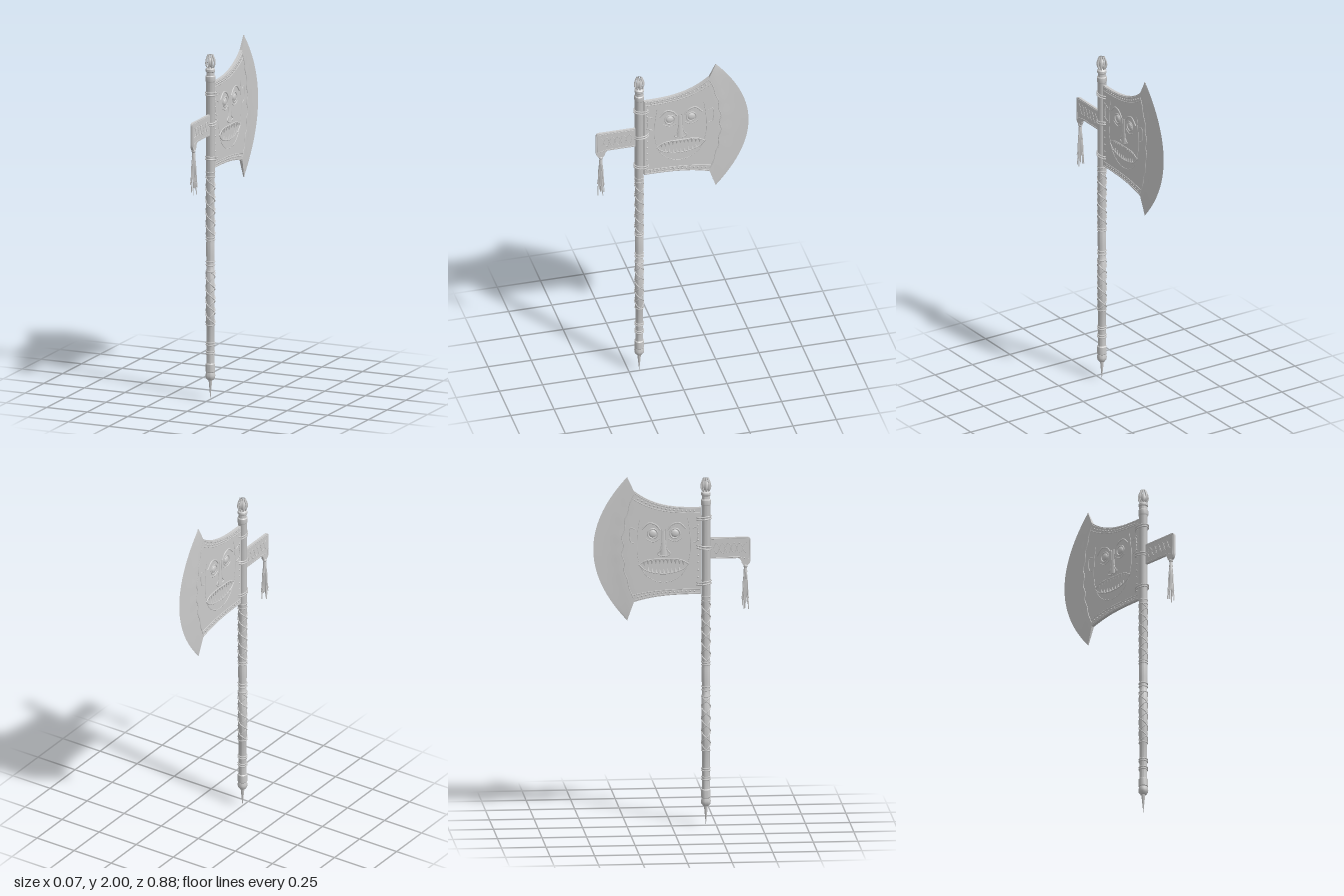
import * as THREE from 'three';
import { toCreasedNormals } from 'three/addons/utils/BufferGeometryUtils.js';

const SHAFT_Z = 0.192, H = 0.009; // shaft axis, half thickness of the blade
const V = (x, y, z) => new THREE.Vector3(x, y, z);
const mat = new THREE.MeshStandardMaterial({ color: 0xcccccc });
const matDouble = new THREE.MeshStandardMaterial({ color: 0xcccccc, side: THREE.DoubleSide });

function add(parent, name, geo, x = 0, y = 0, z = 0, material = mat) {
  const m = new THREE.Mesh(geo, material);
  m.name = name;
  m.position.set(x, y, z);
  parent.add(m);
  return m;
}

function group(parent, name) {
  const g = new THREE.Group();
  g.name = name;
  parent.add(g);
  return g;
}

function tube(parent, name, pts, r, closed = false, seg = pts.length * 5) {
  const curve = new THREE.CatmullRomCurve3(pts, closed);
  return add(parent, name, new THREE.TubeGeometry(curve, seg, r, 6, closed));
}

// Raised line on both flat sides; points are [z, y]
function relief(parent, name, pts, r, h = H, closed = false) {
  for (const s of [1, -1]) tube(parent, name, pts.map(([z, y]) => V(s * h, y, z)), r, closed);
}

// Blade surface: u 0..1 is the body, 1..2 the bevel, 2..3 the cutting edge
const wave = (v) => 0.006 * Math.sin(v * 40) * Math.sin(v * Math.PI);
function bladePoint(u, v) {
  const bow = 1 - (2 * v - 1) ** 2;
  const t = Math.min(u, 1);
  const inner = [0.165 + (-0.378 - 0.07 * bow + wave(v)) * t,
    THREE.MathUtils.lerp(1.325 - 0.04 * t ** 3, 1.82 + 0.1 * t ** 3, v)];
  if (u <= 1) return [...inner, H];
  const tipY = 1.18 + 0.82 * v;
  const bevel = [-0.25 - 0.1 * bow, tipY, 0.0025];
  const edge = [-0.25 - 0.19 * bow, tipY, 0];
  const [a, b, f] = u <= 2 ? [[...inner, H], bevel, u - 1] : [bevel, edge, u - 2];
  return a.map((q, i) => q + (b[i] - q) * f);
}

function bladeGeometry() {
  const us = [...Array(13).keys()].map((i) => i / 12).concat(1.5, 2, 2.5, 3);
  const n = 48, pos = [];
  const P = (i, j, s) => {
    const [z, y, h] = bladePoint(us[i], j / n);
    return [s * h, y, z];
  };
  const quad = (a, b, c, d) => pos.push(...a, ...b, ...c, ...a, ...c, ...d);
  for (let i = 0; i < us.length - 1; i++) {
    for (let j = 0; j < n; j++) {
      quad(P(i, j, 1), P(i + 1, j, 1), P(i + 1, j + 1, 1), P(i, j + 1, 1));
      quad(P(i, j, -1), P(i, j + 1, -1), P(i + 1, j + 1, -1), P(i + 1, j, -1));
    }
    quad(P(i, n, 1), P(i + 1, n, 1), P(i + 1, n, -1), P(i, n, -1));
    quad(P(i, 0, 1), P(i, 0, -1), P(i + 1, 0, -1), P(i + 1, 0, 1));
  }
  for (let j = 0; j < n; j++) quad(P(0, j, 1), P(0, j + 1, 1), P(0, j + 1, -1), P(0, j, -1));
  const geo = new THREE.BufferGeometry();
  geo.setAttribute('position', new THREE.Float32BufferAttribute(pos, 3));
  return toCreasedNormals(geo, 0.3);
}

function buildBlade(root) {
  const blade = group(root, 'blade');
  add(blade, 'bladeBody', bladeGeometry(), 0, 0, 0, matDouble);
  const line = (n, f) => [...Array(n + 1).keys()].map((i) => f(i / n));
  // Borders along the upper, lower and wavy edges
  for (const v of [0.012, 0.06, 0.94, 0.988])
    relief(blade, 'bladeBorder', line(16, (t) => bladePoint(0.02 + 0.96 * t, v).slice(0, 2)), 0.003);
  relief(blade, 'wavyRidge', line(48, (t) => bladePoint(0.985, 0.03 + 0.94 * t).slice(0, 2)), 0.003);
  // Studs beside the shaft and between the border lines
  const stud = new THREE.SphereGeometry(0.0055, 8, 6);
  const spots = line(9, (t) => [0.148, 1.38 + 0.38 * t]);
  for (const v of [0.036, 0.964]) spots.push(...line(14, (t) => bladePoint(0.1 + 0.82 * t, v)));
  for (const s of [1, -1]) for (const [z, y] of spots) add(blade, 'stud', stud, s * (H - 0.001), y, z);
  buildFace(blade);
}

function buildFace(blade) {
  const face = group(blade, 'faceRelief');
  const C = -0.045; // face centre line
  const both = (name, pts, r) => {
    for (const k of [1, -1]) relief(face, name, pts.map(([a, y]) => [C + k * a, y]), r);
  };
  both('cheekLine', [[0.135, 1.76], [0.148, 1.66], [0.145, 1.54], [0.11, 1.45], [0.05, 1.405], [0, 1.395]], 0.002);
  both('brow', [[0.02, 1.695], [0.045, 1.725], [0.085, 1.735], [0.125, 1.7]], 0.005);
  both('eyeBag', [[0.025, 1.645], [0.06, 1.628], [0.1, 1.645]], 0.003);
  both('noseSide', [[0.01, 1.7], [0.011, 1.62], [0.02, 1.58], [0.036, 1.56], [0.02, 1.548], [0, 1.545]], 0.004);
  both('ear', [[0.16, 1.70], [0.185, 1.71], [0.185, 1.63], [0.162, 1.62]], 0.003);
  relief(face, 'upperLip', [[0.095, 1.5], [0.05, 1.523], [-0.045, 1.528], [-0.14, 1.523], [-0.185, 1.5]], 0.004);
  relief(face, 'lowerLip', [[0.095, 1.5], [0.06, 1.468], [-0.045, 1.445], [-0.15, 1.468], [-0.185, 1.5]], 0.004);
  const eye = new THREE.SphereGeometry(0.021, 16, 10).scale(0.35, 1, 1);
  const ring = new THREE.TorusGeometry(0.028, 0.004, 6, 20).rotateY(Math.PI / 2);
  const nose = new THREE.CylinderGeometry(0.007, 0.02, 0.14, 10).scale(0.35, 1, 1);
  const tooth = new THREE.ConeGeometry(0.0085, 0.026, 6).scale(0.6, 1, 1);
  for (const s of [1, -1]) {
    for (const a of [0.0625, -0.0625]) {
      add(face, 'eye', eye, s * H, 1.675, C + a);
      add(face, 'eyelid', ring, s * H, 1.675, C + a);
    }
    add(face, 'nose', nose, s * H, 1.62, C);
    for (let i = -5; i <= 5; i++) {
      const bend = (i / 5) ** 2;
      add(face, 'upperTooth', tooth, s * H, 1.514 - 0.01 * bend, C + i * 0.022).rotation.z = Math.PI;
      if (Math.abs(i) < 5) add(face, 'lowerTooth', tooth, s * H, 1.46 + 0.022 * bend, C + i * 0.022);
    }
  }
}

function buildShaft(root) {
  const shaft = group(root, 'shaft');
  shaft.position.z = SHAFT_Z;
  const profile = [[0, 0.11], [0.016, 0.112], [0.026, 0.125], [0.028, 0.14], [0.024, 0.158], [0.027, 0.162],
    [0.027, 0.205], [0.022, 0.21], [0.022, 0.425], [0.024, 0.43], [0.024, 0.745], [0.022, 0.75], [0.022, 0.8],
    [0.024, 0.83], [0.024, 0.9], [0.022, 0.92], [0.024, 0.94], [0.024, 1.28], [0.025, 1.285], [0.025, 1.83],
    [0.028, 1.835], [0.028, 1.862], [0.023, 1.867], [0.023, 1.885], [0.027, 1.89], [0.027, 1.903], [0.014, 1.915], [0, 1.916]];
  const lathe = new THREE.LatheGeometry(profile.map(([r, y]) => new THREE.Vector2(r, y)), 20);
  add(shaft, 'pole', toCreasedNormals(lathe, 0.6));
  add(shaft, 'buttSpike', new THREE.ConeGeometry(0.012, 0.12, 8).rotateX(Math.PI), 0, 0.06, 0);
  const band = new THREE.TorusGeometry(0.0235, 0.004, 6, 20).rotateX(Math.PI / 2);
  for (const y of [0.265, 0.278, 0.315, 0.328, 0.43, 0.74, 0.775, 0.795, 0.92, 0.935, 1.285, 1.31])
    add(shaft, 'band', band, 0, y, 0);
  // Criss-cross cords around the two grips
  for (const [y0, y1] of [[0.435, 0.735], [0.945, 1.28]])
    for (const dir of [1, -1]) for (const phase of [0, Math.PI]) {
      const pts = [];
      for (let i = 0; i <= 40; i++) {
        const y = y0 + (y1 - y0) * i / 40;
        const a = phase + dir * (y - y0) / 0.14 * Math.PI * 2;
        pts.push(V(0.0245 * Math.cos(a), y, 0.0245 * Math.sin(a)));
      }
      tube(shaft, 'gripCord', pts, 0.0035, false, 90);
    }
  // Bud finial with curved prongs
  add(shaft, 'finialBud', new THREE.SphereGeometry(0.018, 12, 8).scale(1, 1.6, 1), 0, 1.94, 0);
  for (let i = 0; i < 8; i++) {
    const a = i * Math.PI / 4;
    const pts = [[0.014, 1.908], [0.025, 1.928], [0.025, 1.952], [0.012, 1.988]];
    tube(shaft, 'finialProng', pts.map(([r, y]) => V(r * Math.cos(a), y, r * Math.sin(a))), 0.0045);
  }
  // Straps tying the blade to the pole
  for (const [y, tilt] of [[1.76, 0.1], [1.59, -0.12], [1.39, 0.12]])
    for (const dy of [-0.007, 0.007]) {
      const pts = [];
      for (let i = 0; i < 16; i++) {
        const a = i * Math.PI / 8, z = -0.012 + 0.042 * Math.cos(a);
        pts.push(V(0.03 * Math.sin(a), y + dy + z * tilt, z));
      }
      tube(shaft, 'strap', pts, 0.004, true, 40);
    }
}

function buildBackPlate(root) {
  const plate = group(root, 'backPlate');
  const s = new THREE.Shape();
  s.moveTo(0.2, 1.525);
  s.lineTo(0.375, 1.525);
  s.quadraticCurveTo(0.39, 1.515, 0.392, 1.5);
  s.quadraticCurveTo(0.4, 1.48, 0.415, 1.48);
  s.quadraticCurveTo(0.443, 1.49, 0.443, 1.52);
  s.lineTo(0.443, 1.625);
  s.quadraticCurveTo(0.443, 1.645, 0.423, 1.645);
  s.lineTo(0.2, 1.645);
  const geo = new THREE.ExtrudeGeometry(s, { depth: 0.014, bevelEnabled: false, curveSegments: 8 });
  add(plate, 'plate', geo.translate(0, 0, -0.007).rotateY(-Math.PI / 2));
  const h = 0.007;
  for (const y of [1.532, 1.638]) relief(plate, 'plateBorder', [[0.222, y], [0.3, y], [0.378, y], [0.43, y + (y < 1.6 ? -0.012 : -0.002)]], 0.002, h);
  relief(plate, 'plateEdge', [[0.436, 1.63], [0.436, 1.57], [0.434, 1.51]], 0.002, h);
  // Scroll ornament
  const zig = [];
  for (let i = 0; i <= 14; i++) zig.push([0.235 + i * 0.013, 1.585 + 0.03 * Math.sin(i * 1.25)]);
  relief(plate, 'scroll', zig, 0.002, h);
  relief(plate, 'scroll', zig.map(([z, y]) => [z, 3.17 - y]), 0.002, h);
}

function buildTassel(root) {
  const tassel = group(root, 'tassel');
  tassel.position.set(0, 1.49, 0.414);
  add(tassel, 'knot', new THREE.SphereGeometry(0.012, 10, 8), 0, -0.01, 0);
  add(tassel, 'collar', new THREE.CylinderGeometry(0.008, 0.011, 0.03, 10), 0, -0.03, 0);
  for (let i = 0; i < 16; i++) {
    const a = i * 2.4, r = 0.006 + 0.016 * Math.sqrt((i + 0.5) / 16);
    const len = 0.225 + 0.035 * Math.sin(i * 5.3), c = Math.cos(a), q = Math.sin(a);
    tube(tassel, 'strand', [V(c * 0.005, -0.03, q * 0.005), V(c * r * 0.6, -0.1, q * r * 0.6),
      V(c * r * 0.8, -0.18, q * r * 0.8), V(c * r, -len, q * r)], 0.0028, false, 10);
  }
}

export function createModel() {
  const root = new THREE.Group();
  root.name = 'ornateAxe';
  buildShaft(root);
  buildBlade(root);
  buildBackPlate(root);
  buildTassel(root);
  return root;
}
